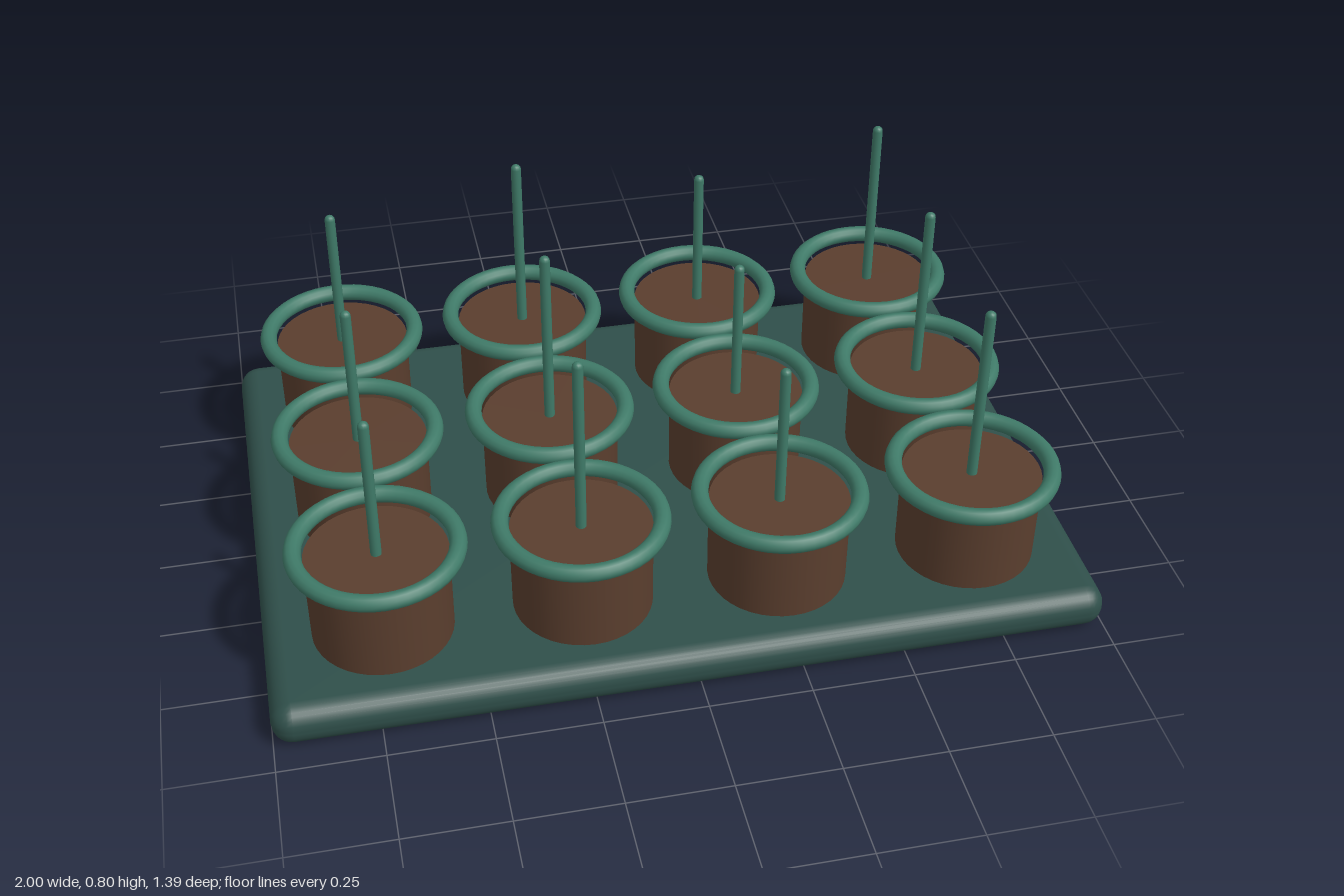
import * as THREE from 'three';
import { RoundedBoxGeometry } from 'three/addons/geometries/RoundedBoxGeometry.js';

function material(name, color) {
  const m = new THREE.MeshStandardMaterial({ color });
  m.name = name;
  return m;
}

export function createModel() {
  const trayGreen = material('dark tray green', 0x2f4f4a);
  const rimGreen = material('rim green', 0x3f7a68);
  const soilBrown = material('soil brown', 0x5a3e2e);

  const model = new THREE.Group();
  model.name = 'seedlingTray';

  const add = (parent, name, geometry, mat, y) => {
    const mesh = new THREE.Mesh(geometry, mat);
    mesh.name = name;
    mesh.position.y = y;
    parent.add(mesh);
  };

  // Tray slab with rounded edges
  const trayTop = 0.107;
  add(model, 'tray', new RoundedBoxGeometry(2, trayTop, 1.39, 3, 0.05), trayGreen, trayTop / 2);

  // Shared pot parts
  const soilTop = 0.33;
  const soilBase = 0.1;
  const soil = new THREE.CylinderGeometry(0.169, 0.168, soilTop - soilBase, 40);
  const rim = new THREE.TorusGeometry(0.19, 0.021, 12, 48).rotateX(Math.PI / 2);

  // Round-tipped stems in two heights, rooted in the soil
  const stemRadius = 0.013;
  const stemBase = 0.25;
  const stems = [0.71, 0.8].map((top) => {
    const length = top - stemBase;
    const geometry = new THREE.CapsuleGeometry(stemRadius, length - 2 * stemRadius, 4, 12);
    return { geometry, y: stemBase + length / 2 };
  });

  // Four columns by three rows; stem height alternates by column
  for (let col = 0; col < 4; col++) {
    for (let row = 0; row < 3; row++) {
      const pot = new THREE.Group();
      pot.name = `pot${col + 1}${row + 1}`;
      pot.position.set((col - 1.5) * 0.478, 0, (row - 1) * 0.435);
      const stem = stems[col % 2];
      add(pot, 'soilPlug', soil, soilBrown, (soilTop + soilBase) / 2);
      add(pot, 'rim', rim, rimGreen, 0.35);
      add(pot, 'stem', stem.geometry, rimGreen, stem.y);
      model.add(pot);
    }
  }
  return model;
}
